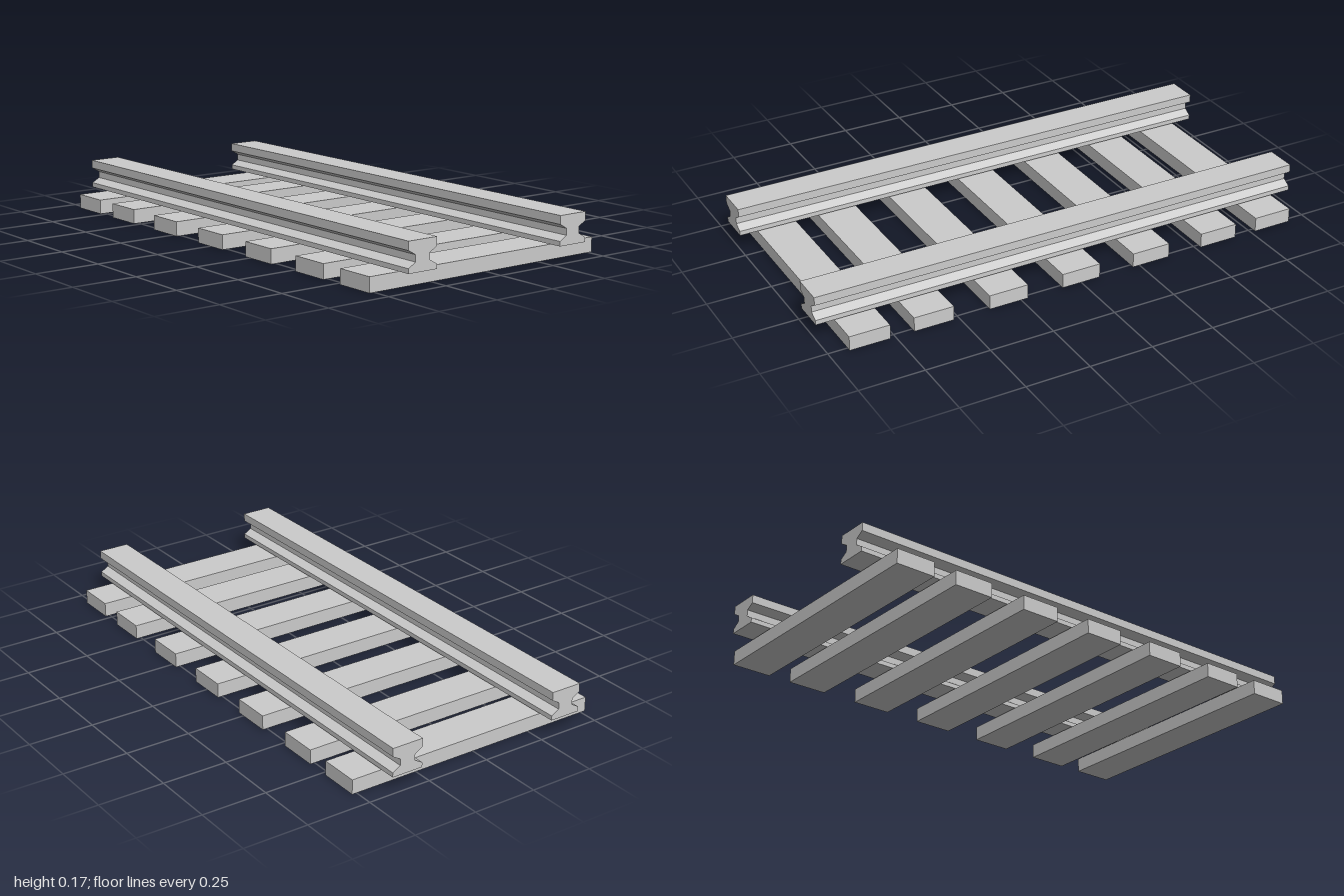
import * as THREE from 'three';

export function createModel() {
  const model = new THREE.Group();
  model.name = 'railwayTrack';
  const material = new THREE.MeshStandardMaterial({ color: 0xcccccc, flatShading: true });

  // Rail cross-section: right half [x, y], bottom to top, mirrored for the left half
  const half = [[0.062, 0.064], [0.062, 0.082], [0.031, 0.1], [0.031, 0.125], [0.062, 0.143], [0.062, 0.175]];
  const outline = [...half, ...half.map(([x, y]) => [-x, y]).reverse()];
  const profile = new THREE.Shape(outline.map(([x, y]) => new THREE.Vector2(x, y)));
  const railGeometry = new THREE.ExtrudeGeometry(profile, { depth: 2, bevelEnabled: false });
  railGeometry.translate(0, 0, -1);

  for (const [name, x] of [['leftRail', 0.344], ['rightRail', -0.354]]) {
    const rail = new THREE.Mesh(railGeometry, material);
    rail.name = name;
    rail.position.x = x;
    model.add(rail);
  }

  // Sleepers, with the end ones set a little closer to their neighbours
  const sleeperGeometry = new THREE.BoxGeometry(1.038, 0.056, 0.156);
  [-0.847, -0.599, -0.3, 0, 0.3, 0.599, 0.847].forEach((z, i) => {
    const sleeper = new THREE.Mesh(sleeperGeometry, material);
    sleeper.name = `sleeper${i + 1}`;
    sleeper.position.set(-0.001, 0.028, z);
    model.add(sleeper);
  });

  return model;
}
